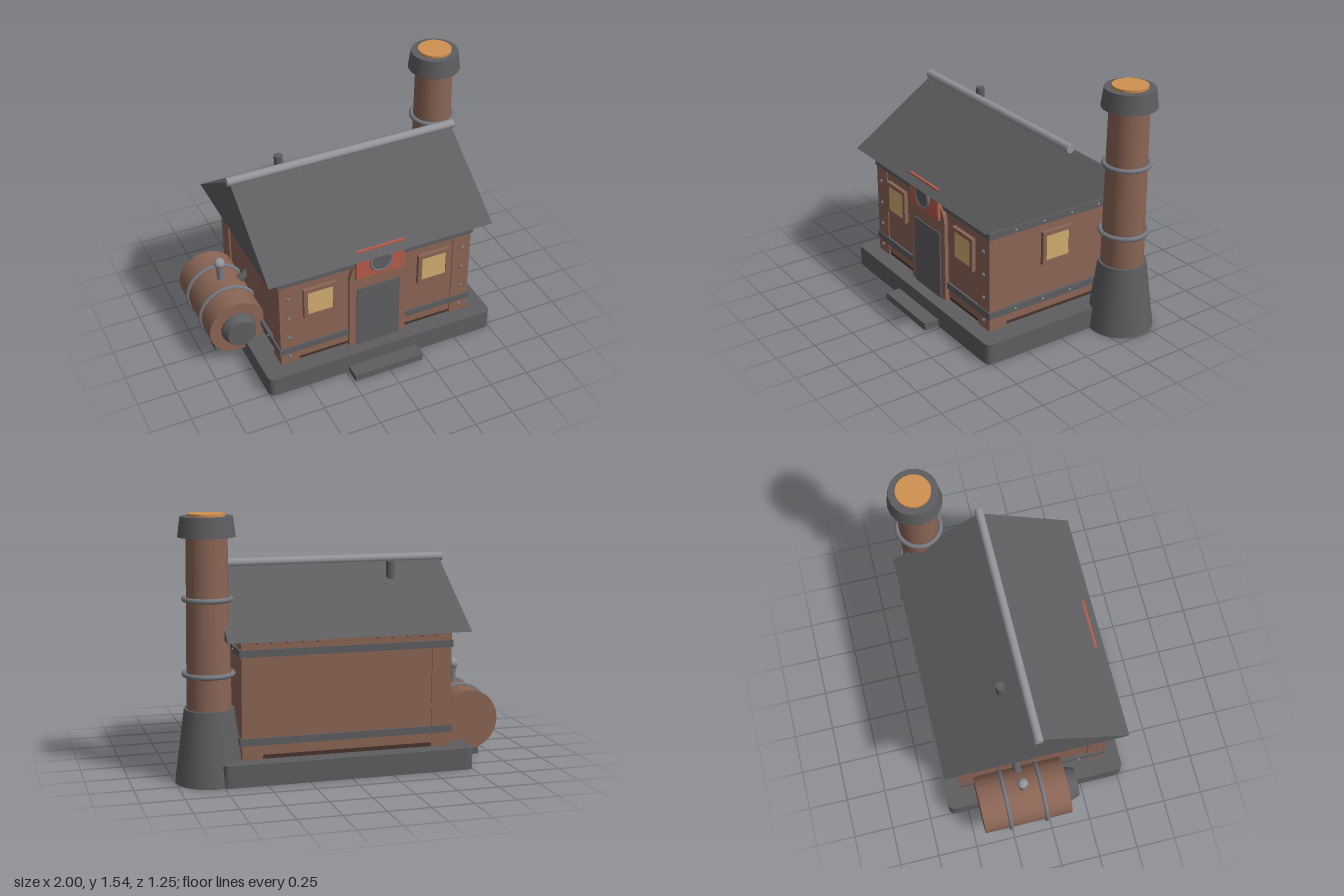
import * as THREE from 'three';

const mat = (name, color, extra = {}) => {
  const m = new THREE.MeshStandardMaterial({ color, ...extra });
  m.name = name;
  return m;
};

export function createModel() {
  const brick = mat('brown wall', 0x8a6555);
  const shade = mat('dark brown gap', 0x4a342c);
  const iron = mat('dark iron', 0x5e5d60);
  const steel = mat('light steel', 0x94959a);
  const ring = mat('hoop steel', 0x777980);
  const red = mat('sign red', 0xb55c4a);
  const glass = mat('window gold', 0xd0ac6e);
  const ember = mat('ember orange', 0xd0914f);

  const root = new THREE.Group();
  root.name = 'boilerHouse';
  const CX = -0.005, CZ = -0.045; // centre of the house
  const add = (name, geo, m, x = 0, y = 0, z = 0, parent = root) => {
    const mesh = new THREE.Mesh(geo, m);
    mesh.name = name;
    mesh.position.set(x, y, z);
    parent.add(mesh);
    return mesh;
  };
  const box = (name, m, w, h, d, x, y, z, parent) =>
    add(name, new THREE.BoxGeometry(w, h, d), m, x, y, z, parent);
  const cyl = (name, m, rTop, rBot, y0, y1, x, z, n = 20, parent = root) =>
    add(name, new THREE.CylinderGeometry(rTop, rBot, y1 - y0, n), m, x, (y0 + y1) / 2, z, parent);

  // Foundation slab with rounded corners, and the doorstep
  const w = 0.757, d = 0.575, r = 0.045;
  const slab = new THREE.Shape();
  slab.moveTo(-w + r, -d);
  slab.lineTo(w - r, -d); slab.quadraticCurveTo(w, -d, w, -d + r);
  slab.lineTo(w, d - r); slab.quadraticCurveTo(w, d, w - r, d);
  slab.lineTo(-w + r, d); slab.quadraticCurveTo(-w, d, -w, d - r);
  slab.lineTo(-w, -d + r); slab.quadraticCurveTo(-w, -d, -w + r, -d);
  const slabGeo = new THREE.ExtrudeGeometry(slab, { depth: 0.13, bevelEnabled: false, curveSegments: 4 });
  slabGeo.rotateX(-Math.PI / 2);
  add('foundation', slabGeo, iron, 0, 0, CZ);
  box('doorstep', iron, 0.46, 0.045, 0.14, CX, 0.0225, 0.555);

  // Walls, ground gap, corner posts and iron bands
  box('wallGap', shade, 1.235, 0.03, 0.93, CX, 0.142, CZ);
  box('walls', brick, 1.25, 0.68, 0.94, CX, 0.495, CZ);
  for (const sx of [-1, 1]) for (const sz of [-1, 1])
    box('cornerPost', brick, 0.12, 0.7, 0.12, CX + sx * 0.575, 0.48, CZ + sz * 0.417);
  for (const y of [0.235, 0.75])
    box('ironBand', iron, 1.29, 0.042, 0.966, CX, y, CZ);

  // Rivets on posts, eaves and side bands
  const rivetGeo = new THREE.SphereGeometry(0.012, 8, 6);
  const rivet = (x, y, z) => add('rivet', rivetGeo, ring, x, y, z);
  for (const sx of [-1, 1]) for (const sz of [-1, 1]) {
    const z = CZ + sz * 0.479;
    if (sz > 0) for (const y of [0.185, 0.335, 0.485, 0.635]) rivet(CX + sx * 0.58, y, z);
    for (const x of [0.18, 0.27, 0.362, 0.454, 0.54]) rivet(CX + sx * x, 0.81, CZ + sz * 0.473);
  }
  const smallRivet = new THREE.SphereGeometry(0.008, 8, 6);
  for (const sx of [-1, 1]) for (const y of [0.235, 0.75]) for (const z of [0.255, 0.055, -0.145, -0.345])
    add('bandRivet', smallRivet, steel, CX + sx * 0.645, y, z);

  // Roof: solid gable prism with a ridge pole and a small vent
  const gable = new THREE.Shape();
  gable.moveTo(-0.565, 0); gable.lineTo(0.565, 0); gable.lineTo(0, 0.38);
  const roofGeo = new THREE.ExtrudeGeometry(gable, { depth: 1.455, bevelEnabled: false });
  roofGeo.translate(0, 0, -0.7275).rotateY(Math.PI / 2);
  add('roof', roofGeo, iron, CX, 0.83, CZ);
  const ridge = cyl('ridgePole', steel, 0.027, 0.027, -0.745, 0.745, CX, CZ, 12);
  ridge.rotation.z = Math.PI / 2;
  ridge.position.y = 1.213;
  cyl('roofVent', iron, 0.027, 0.027, 1.0, 1.21, -0.37, -0.18, 12);

  // Arched door surround and door
  const arch = new THREE.Shape();
  arch.moveTo(-0.19, 0.13); arch.lineTo(0.19, 0.13); arch.lineTo(0.19, 0.63);
  arch.absarc(0, 0.63, 0.19, 0, Math.PI, false);
  add('doorSurround', new THREE.ExtrudeGeometry(arch, { depth: 0.05, bevelEnabled: false, curveSegments: 14 }),
    brick, CX, 0, 0.4);
  box('door', iron, 0.285, 0.44, 0.008, CX, 0.35, 0.453);

  // Sign board with a round badge
  box('signBoard', red, 0.315, 0.205, 0.02, CX, 0.768, 0.465);
  const badge = cyl('badge', iron, 0.068, 0.068, -0.009, 0.009, CX, 0.48, 24);
  badge.rotation.x = Math.PI / 2;
  badge.position.y = 0.768;
  add('badgeRim', new THREE.TorusGeometry(0.068, 0.009, 8, 28), ring, CX, 0.768, 0.484);

  // Windows: raised frame around a pane
  const makeWindow = (x, z, turn) => {
    const g = new THREE.Group();
    g.name = 'window';
    const frame = new THREE.Shape();
    const sq = (s, a) => { s.moveTo(-a, -a); s.lineTo(a, -a); s.lineTo(a, a); s.lineTo(-a, a); s.closePath(); };
    sq(frame, 0.106);
    const hole = new THREE.Path();
    sq(hole, 0.081);
    frame.holes.push(hole);
    add('windowFrame', new THREE.ExtrudeGeometry(frame, { depth: 0.025, bevelEnabled: false }), brick, 0, 0, 0, g);
    box('windowPane', glass, 0.164, 0.158, 0.008, 0, 0, 0.018, g);
    g.position.set(x, 0.567, z);
    g.rotation.y = turn;
    root.add(g);
  };
  makeWindow(CX - 0.378, 0.425, 0);
  makeWindow(CX + 0.378, 0.425, 0);
  makeWindow(0.62, CZ, Math.PI / 2);

  // Tall chimney with flared foot, hoops, cap and glowing mouth
  const chimney = new THREE.Group();
  chimney.name = 'chimney';
  chimney.position.set(0.797, 0, -0.412);
  root.add(chimney);
  cyl('chimneyFoot', iron, 0.145, 0.203, 0, 0.43, 0, 0, 20, chimney);
  cyl('chimneyShaft', brick, 0.118, 0.13, 0.43, 1.42, 0, 0, 20, chimney);
  cyl('chimneyCap', iron, 0.15, 0.165, 1.41, 1.525, 0, 0, 20, chimney);
  cyl('chimneyGlow', ember, 0.106, 0.106, 1.52, 1.54, 0, 0, 20, chimney);
  for (const [y, R] of [[0.63, 0.14], [1.06, 0.134]])
    add('chimneyHoop', new THREE.TorusGeometry(R, 0.015, 8, 28).rotateX(Math.PI / 2), ring, 0, y, 0, chimney);

  // Side boiler tank lying along z
  const tank = new THREE.Group();
  tank.name = 'boilerTank';
  tank.position.set(-0.797, 0.255, -0.15);
  root.add(tank);
  const lying = (name, m, rFront, rBack, z0, z1) =>
    add(name, new THREE.CylinderGeometry(rFront, rBack, z1 - z0, 20).rotateX(Math.PI / 2), m, 0, 0, (z0 + z1) / 2, tank);
  lying('tankBody', brick, 0.183, 0.183, -0.28, 0.28);
  lying('tankCollar', iron, 0.11, 0.11, 0.28, 0.295);
  lying('tankHatch', iron, 0.09, 0.11, 0.295, 0.35);
  for (const z of [-0.115, 0.117]) {
    add('tankHoop', new THREE.TorusGeometry(0.186, 0.013, 8, 28), ring, 0, 0, z, tank);
    box('tankFoot', iron, 0.23, 0.1, 0.075, -0.003, -0.205, z, tank);
  }
  cyl('valveStem', ring, 0.021, 0.021, 0.17, 0.28, 0, 0, 12, tank);
  add('valveKnob', new THREE.SphereGeometry(0.034, 14, 10), steel, 0, 0.297, 0, tank);
  const pipe = cyl('feedPipe', iron, 0.026, 0.026, -0.09, 0.09, 0.14, 0, 12, tank);
  pipe.position.y = 0.14;
  pipe.rotation.z = -0.9;

  return root;
}
